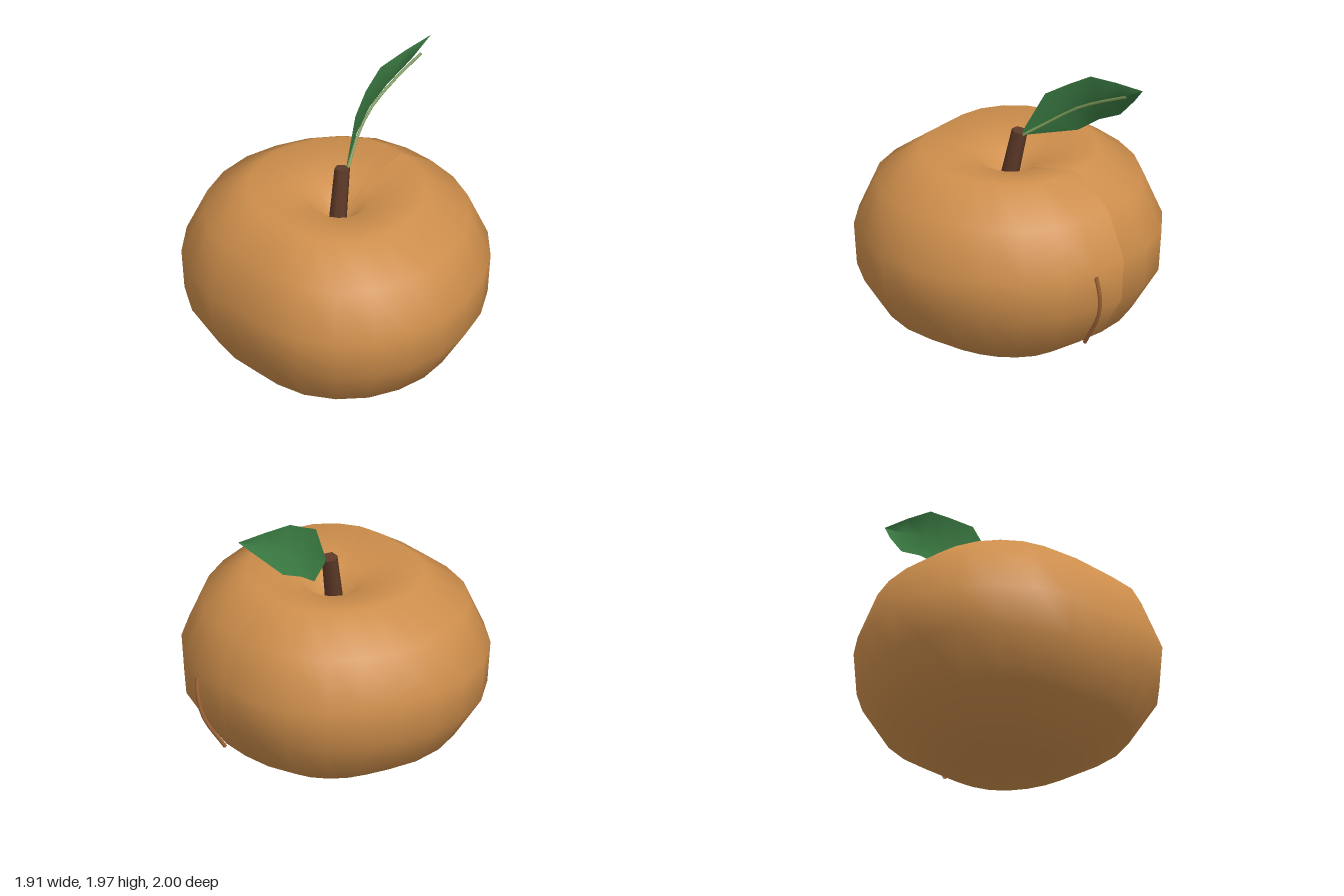
import * as THREE from 'three';

const v = (x, y, z) => new THREE.Vector3(x, y, z);

function mesh(name, geometry, color, side = THREE.FrontSide) {
  const m = new THREE.Mesh(geometry, new THREE.MeshStandardMaterial({ color, side, roughness: 0.8 }));
  m.name = name;
  return m;
}

// Squat fruit: lathe profile with a dimple on top, made slightly irregular around its axis
function fruitGeometry() {
  const profile = [
    [0, 0.01], [0.25, 0.003], [0.48, 0.02], [0.8, 0.22], [0.98, 0.51], [1, 0.8],
    [0.865, 1.12], [0.58, 1.32], [0.2, 1.23], [0.07, 1.08], [0, 1.05],
  ].map(([x, y]) => new THREE.Vector2(x, y));
  const geo = new THREE.LatheGeometry(profile, 24, Math.PI / 2);
  // Radius every 15 degrees from the left side (+x) to the right side (-x), mirrored front to back
  const radii = [0.965, 0.977, 0.995, 0.986, 0.98, 0.981, 1, 1.015, 1.028, 1.022, 1, 0.956, 0.925];
  const p = geo.attributes.position;
  for (let i = 0; i < p.count; i++) {
    const x = p.getX(i), z = p.getZ(i);
    const r = radii[Math.round(Math.abs(Math.atan2(z, x)) / (Math.PI / 12))];
    p.setX(i, x * r - 0.035);
    p.setZ(i, z * r);
  }
  geo.computeVertexNormals();
  return geo;
}

// Leaf: cross-sections of upper edge, middle and lower edge between root and tip
function leafGeometry() {
  const root = [0.035, 1.415, -0.01], tip = [0.95, 1.97, -0.165];
  const sections = [
    [root, root, root],
    [[0.19, 1.74, -0.08], [0.24, 1.56, -0.12], [0.34, 1.47, -0.23]],
    [[0.34, 1.835, -0.14], [0.39, 1.67, -0.16], [0.49, 1.58, -0.27]],
    [[0.5, 1.93, -0.17], [0.56, 1.765, -0.17], [0.66, 1.665, -0.28]],
    [[0.72, 1.955, -0.17], [0.77, 1.87, -0.16], [0.82, 1.83, -0.235]],
    [tip, tip, tip],
  ];
  const index = [];
  for (let s = 0; s < sections.length - 1; s++) {
    for (let k = 0; k < 2; k++) {
      const a = s * 3 + k, b = a + 1, c = a + 3, d = a + 4;
      if (s > 0) index.push(a, b, c);
      if (s < sections.length - 2) index.push(b, d, c);
      else continue;
    }
  }
  const geo = new THREE.BufferGeometry();
  geo.setAttribute('position', new THREE.Float32BufferAttribute(sections.flat(2), 3));
  geo.setIndex(index);
  geo.computeVertexNormals();
  return geo;
}

// Thin rod through points
function rod(points, radius) {
  const curve = new THREE.CatmullRomCurve3(points);
  return new THREE.TubeGeometry(curve, 8, radius, 6, false);
}

export function createModel() {
  const model = new THREE.Group();
  model.name = 'fruit';

  model.add(mesh('fruitBody', fruitGeometry(), 0xcf8f4c));

  // Leaning six-sided stem
  const bottom = v(-0.05, 1.07, 0.005), top = v(0.02, 1.44, -0.025);
  const axis = top.clone().sub(bottom);
  const stem = mesh('stem', new THREE.CylinderGeometry(0.052, 0.06, axis.length(), 6), 0x5e3a28);
  stem.position.copy(bottom).add(top).multiplyScalar(0.5);
  stem.quaternion.setFromUnitVectors(v(0, 1, 0), axis.normalize());
  model.add(stem);

  // Leaf with a raised midrib along its front
  model.add(mesh('leaf', leafGeometry(), 0x3a7a42, THREE.DoubleSide));
  const rib = [v(0.04, 1.41, 0), v(0.24, 1.56, -0.105), v(0.39, 1.67, -0.145), v(0.56, 1.765, -0.152), v(0.83, 1.9, -0.133)];
  model.add(mesh('leafMidrib', rod(rib, 0.01), 0x7d9a5a, THREE.DoubleSide));

  // Raised scar on the left side of the skin
  const scar = [v(0.92, 0.77, 0.265), v(0.933, 0.64, 0.245), v(0.903, 0.48, 0.22), v(0.75, 0.22, 0.18)];
  model.add(mesh('skinScar', rod(scar, 0.014), 0xa5683a, THREE.DoubleSide));

  return model;
}
